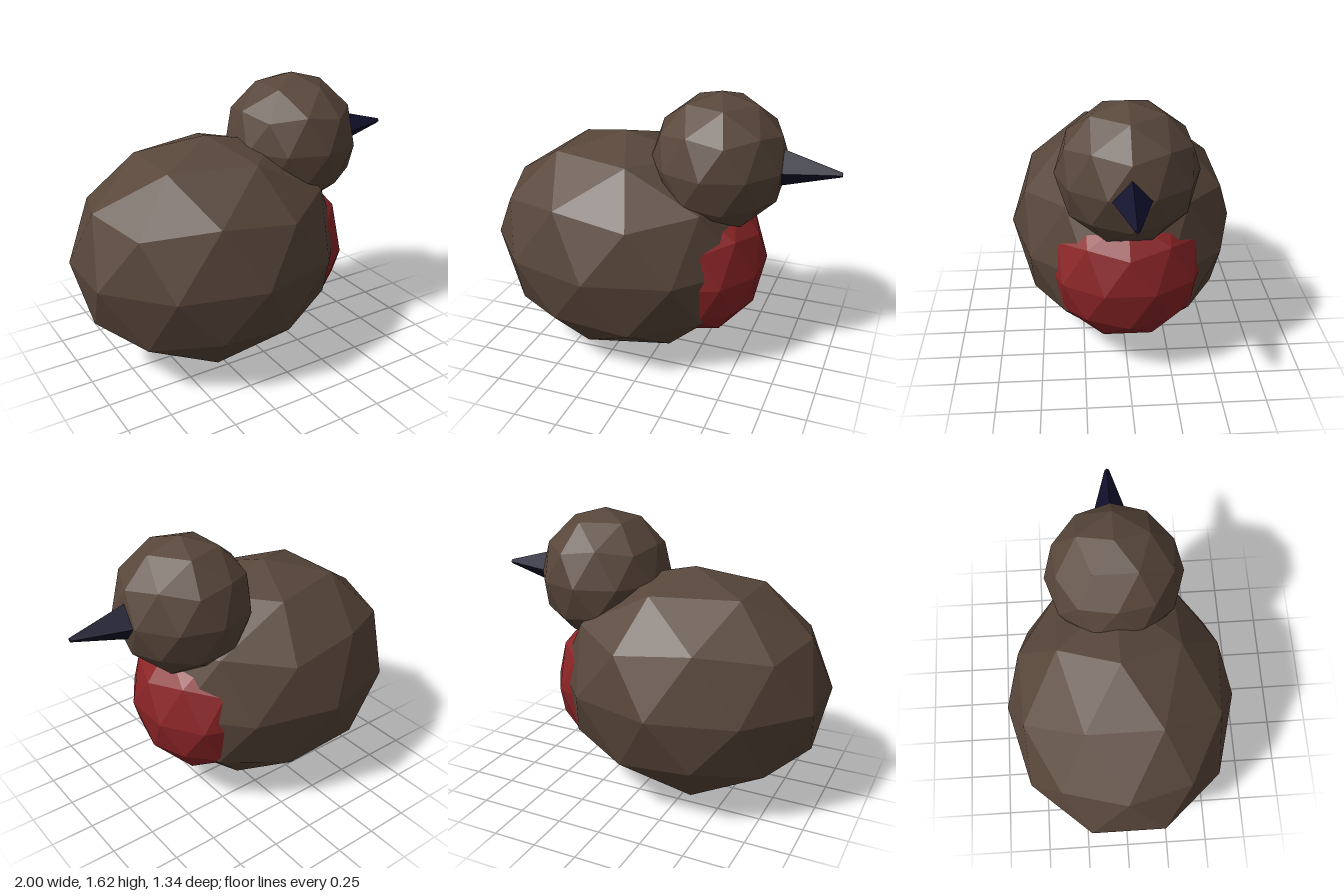
import * as THREE from 'three';

const brown = new THREE.MeshStandardMaterial({ color: 0x58463a });
brown.name = 'brownFeathers';
const red = new THREE.MeshStandardMaterial({ color: 0x8a2426 });
red.name = 'redBreast';
const navy = new THREE.MeshStandardMaterial({ color: 0x10102c });
navy.name = 'darkBeak';

// Faceted ball with a vertex at each pole and a vertex of the upper ring towards +x
function facetedBall(name, material, radii, centre) {
  const geometry = new THREE.IcosahedronGeometry(1, 1);
  geometry.rotateX(-Math.atan((1 + Math.sqrt(5)) / 2));
  geometry.rotateY(Math.PI / 2);
  geometry.scale(...radii);
  geometry.computeVertexNormals(); // unshared corners give flat facets
  const mesh = new THREE.Mesh(geometry, material);
  mesh.name = name;
  mesh.position.set(...centre);
  return mesh;
}

export function createModel() {
  const bird = new THREE.Group();
  bird.name = 'bird';

  bird.add(
    facetedBall('body', brown, [0.804, 0.67, 0.67], [-0.235, 0.673, 0]),
    facetedBall('head', brown, [0.386, 0.389, 0.389], [0.328, 1.236, 0]),
    facetedBall('breast', red, [0.39, 0.449, 0.45], [0.224, 0.616, 0]),
  );

  // Four-sided beak with a blunt tip, its base sunk into the head
  const beakShape = new THREE.CylinderGeometry(0.013, 0.127, 0.4, 4).toNonIndexed();
  beakShape.rotateZ(-Math.PI / 2);
  beakShape.computeVertexNormals();
  const beak = new THREE.Mesh(beakShape, navy);
  beak.name = 'beak';
  beak.position.set(0.8, 1.235, 0);
  bird.add(beak);

  return bird;
}
